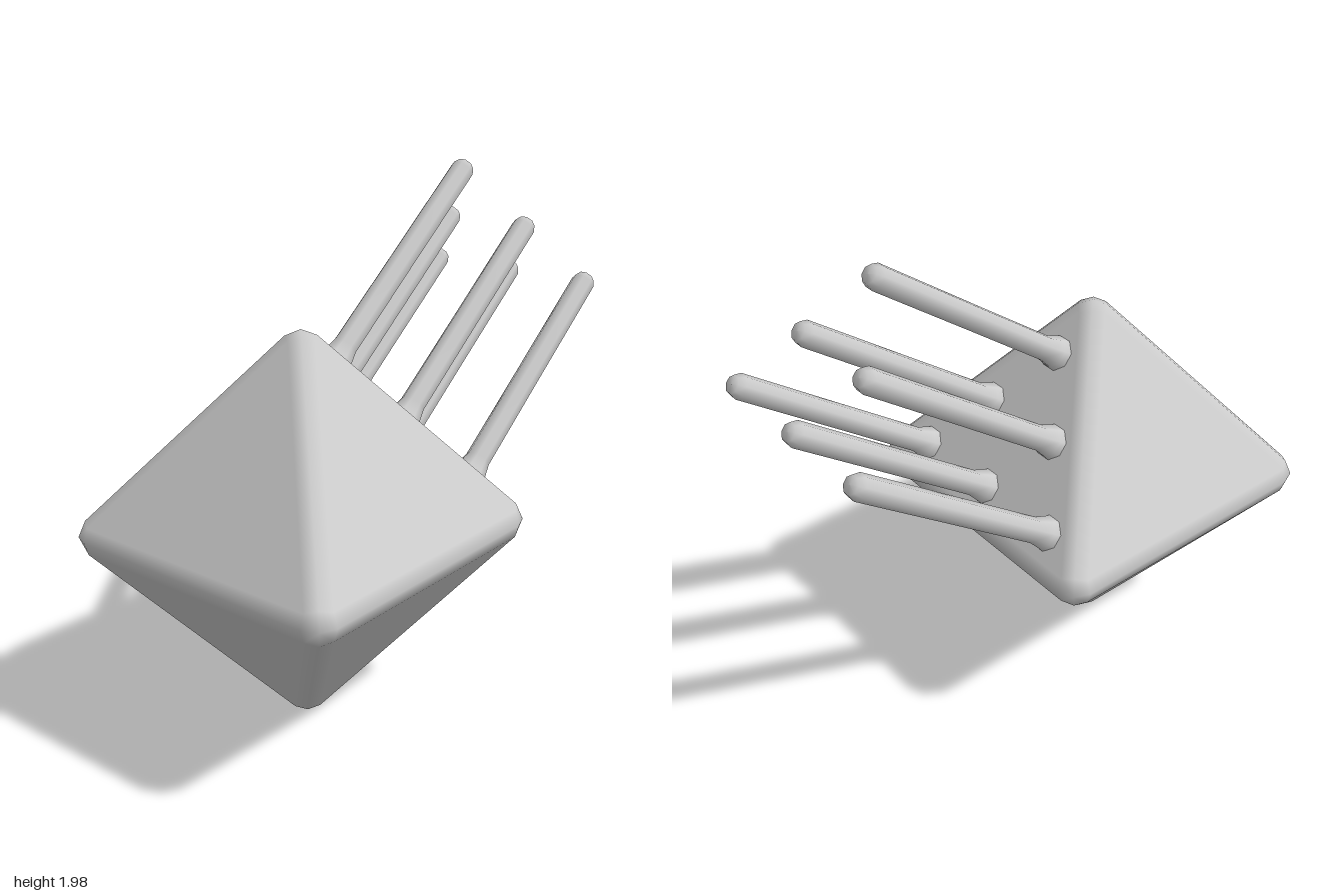
import * as THREE from 'three';
import { ConvexGeometry } from 'three/addons/geometries/ConvexGeometry.js';

const material = new THREE.MeshStandardMaterial({ color: 0xcccccc });
const V = (x, y, z) => new THREE.Vector3(x, y, z);
const HALF = 0.517, APEX = 0.67, ROUND = 0.085; // core octahedron and edge rounding
const faceNormal = V(0, HALF, -APEX).normalize(); // upper back face

// Octahedron with rounded edges: hull of rounding points around each core corner
function roundedOctahedron() {
  const corners = [V(0, APEX, 0), V(0, -APEX, 0)];
  for (const sx of [-1, 1]) for (const sz of [-1, 1]) corners.push(V(sx * HALF, 0, sz * HALF));

  const dirs = [];
  for (let i = 0; i < 4; i++) {
    const a = i * Math.PI / 2, b = a + Math.PI / 4;
    const side = V(Math.round(Math.cos(a)), 0, Math.round(Math.sin(a)));
    const diagonal = V(Math.cos(b), 0, Math.sin(b));
    dirs.push(side, diagonal);
    for (const s of [-1, 1]) {
      // face normal, then the direction halfway between two neighbouring faces
      dirs.push(side.clone().multiplyScalar(APEX).add(V(0, s * HALF, 0)).normalize());
      dirs.push(diagonal.clone().multiplyScalar(APEX * Math.SQRT1_2).add(V(0, s * HALF, 0)).normalize());
    }
  }
  dirs.push(V(0, 1, 0), V(0, -1, 0));

  const points = corners.flatMap(c => dirs.map(d => c.clone().addScaledVector(d, ROUND)));
  const geometry = new ConvexGeometry(points);

  // Smooth normals point away from the nearest core corner
  const pos = geometry.attributes.position, normal = geometry.attributes.normal, p = V(0, 0, 0);
  for (let i = 0; i < pos.count; i++) {
    p.fromBufferAttribute(pos, i);
    const nearest = corners.reduce((a, b) => (p.distanceTo(a) < p.distanceTo(b) ? a : b));
    p.sub(nearest).normalize();
    normal.setXYZ(i, p.x, p.y, p.z);
  }
  return geometry;
}

// Eight-sided rod with a flared foot and a bevelled tip
function rodGeometry() {
  const profile = [[0.067, -0.02], [0.067, 0.008], [0.06, 0.03], [0.048, 0.085],
    [0.047, 0.5], [0.047, 0.985], [0.034, 1.013], [0, 1.016]];
  return new THREE.LatheGeometry(profile.map(([r, y]) => new THREE.Vector2(r, y)), 8, Math.PI / 8);
}

export function createModel() {
  const model = new THREE.Group();
  model.name = 'spikedOctahedron';

  const body = new THREE.Mesh(roundedOctahedron(), material);
  body.name = 'body';
  body.position.set(0, 0.765, 0.37);
  model.add(body);

  // Triangle of rods square to the upper back face: one, two, three per row
  const rods = new THREE.Group();
  rods.name = 'rods';
  const geometry = rodGeometry();
  for (let row = 0; row < 3; row++) {
    for (let i = 0; i <= row; i++) {
      const rod = new THREE.Mesh(geometry, material);
      rod.name = 'rod';
      rod.position.set((i - row / 2) * 0.36, 1.35 - 0.228 * row, 0.2 - 0.175 * row);
      rod.quaternion.setFromUnitVectors(V(0, 1, 0), faceNormal);
      rods.add(rod);
    }
  }
  model.add(rods);
  return model;
}
